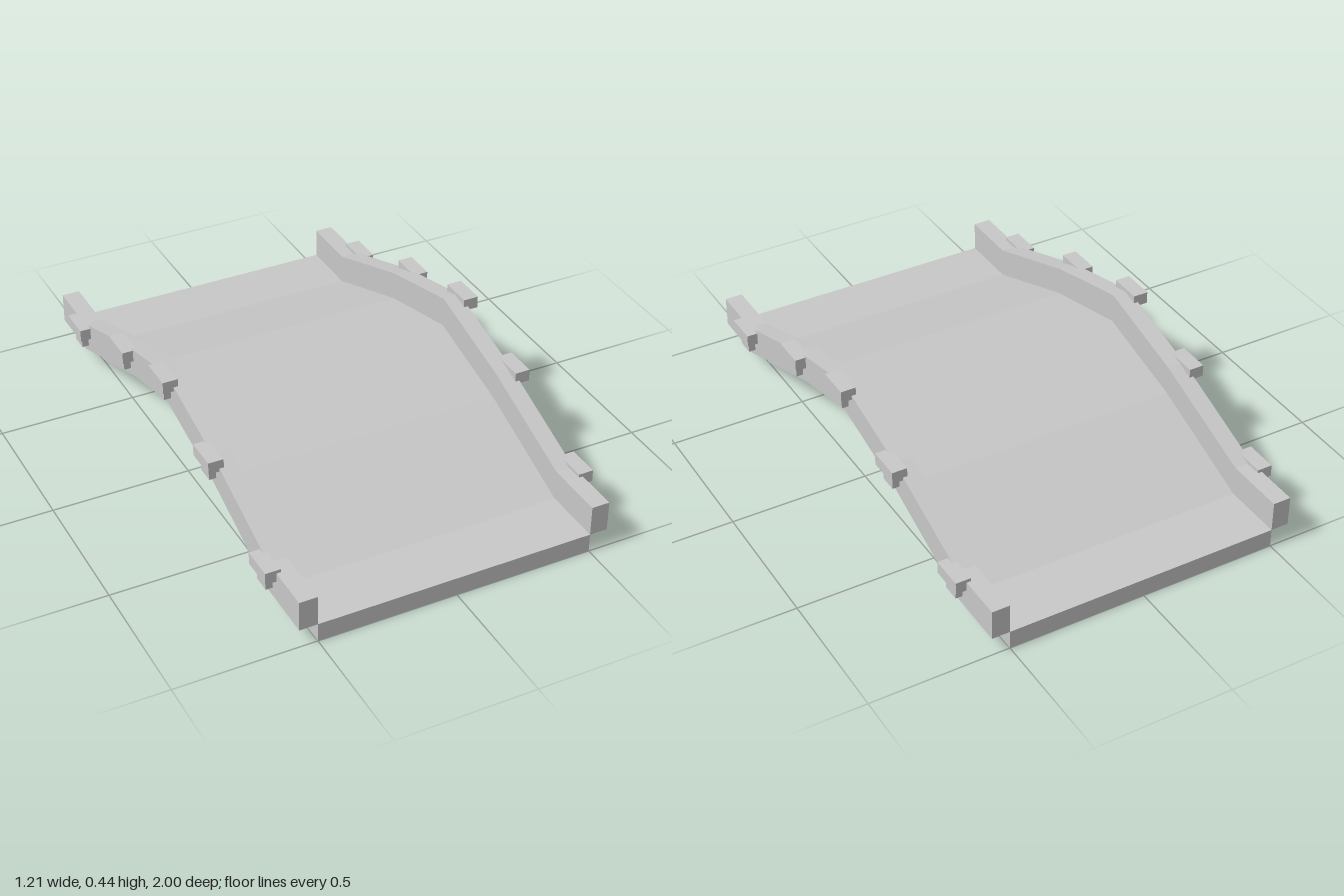
import * as THREE from 'three';

// Half-span stations: distance from the crown, underside height, deck height, parapet height
const STATIONS = [
  [1, 0, 0.068, 0.178],
  [0.78, 0, 0.068, 0.178],
  [0.36, 0.155, 0.223, 0.33],
  [0, 0.247, 0.312, 0.422],
];

// Extrudes the band between two station heights across the bridge, from x0 to x1
function band(low, high, x0, x1) {
  const full = [
    ...STATIONS.map(s => [s[0], s[low], s[high]]),
    ...STATIONS.slice(0, -1).reverse().map(s => [-s[0], s[low], s[high]]),
  ];
  const points = [
    ...full.map(([z, y]) => new THREE.Vector2(-z, y)),
    ...full.slice().reverse().map(([z, , y]) => new THREE.Vector2(-z, y)),
  ];
  const geometry = new THREE.ExtrudeGeometry(new THREE.Shape(points), { depth: x1 - x0, bevelEnabled: false });
  geometry.rotateY(Math.PI / 2); // shape x becomes -z, depth becomes +x
  geometry.translate(x0, 0, 0);
  return geometry;
}

export function createModel() {
  const group = new THREE.Group();
  group.name = 'bridge';
  const stone = new THREE.MeshStandardMaterial({ color: 0xc8c8c8, flatShading: true });
  stone.name = 'grey stone';

  function add(parent, name, geometry, x = 0, y = 0, z = 0) {
    const mesh = new THREE.Mesh(geometry, stone);
    mesh.name = name;
    mesh.position.set(x, y, z);
    parent.add(mesh);
  }

  // Arched deck slab
  add(group, 'deck', band(1, 2, -0.5, 0.5));

  // Parapets along both edges
  add(group, 'leftParapet', band(2, 3, 0.5, 0.565));
  add(group, 'rightParapet', band(2, 3, -0.565, -0.5));

  // T-shaped brackets at every bend: a wide cap on a narrow stem
  const cap = new THREE.BoxGeometry(0.055, 0.044, 0.12);
  const stem = new THREE.BoxGeometry(0.03, 0.046, 0.064);
  const bends = [[-0.78, 0.19], [-0.36, 0.341], [0, 0.435], [0.36, 0.341], [0.78, 0.19]];
  for (const side of [1, -1]) {
    for (const [z, top] of bends) {
      const bracket = new THREE.Group();
      bracket.name = side > 0 ? 'leftBracket' : 'rightBracket';
      bracket.position.set(0, top, z);
      add(bracket, 'bracketCap', cap, side * 0.5765, -0.022, 0);
      add(bracket, 'bracketStem', stem, side * 0.575, -0.066, 0);
      group.add(bracket);
    }
  }
  return group;
}
